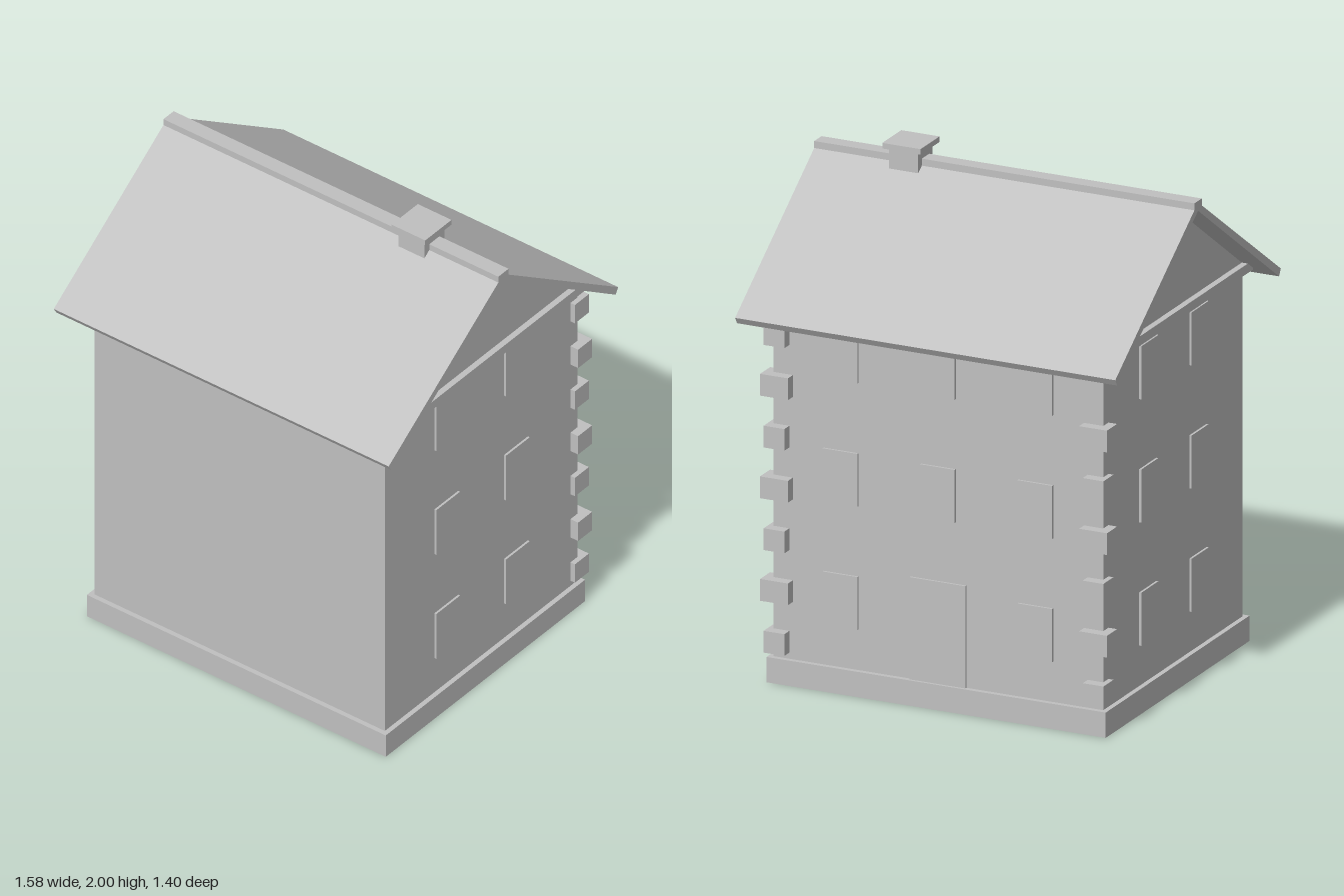
import * as THREE from 'three';

export function createModel() {
  const house = new THREE.Group();
  house.name = 'house';
  const stone = new THREE.MeshStandardMaterial({ color: 0xc0c0c0 });
  stone.name = 'light grey stone';

  const add = (name, geometry) => {
    const mesh = new THREE.Mesh(geometry, stone);
    mesh.name = name;
    house.add(mesh);
    return mesh;
  };
  // Box given by its limits on each axis
  const box = (name, x0, x1, y0, y1, z0, z1) =>
    add(name, new THREE.BoxGeometry(x1 - x0, y1 - y0, z1 - z0))
      .position.set((x0 + x1) / 2, (y0 + y1) / 2, (z0 + z1) / 2);
  // Cross-section of [z, y] points swept along x
  const sweep = (name, points, halfLength) => {
    const shape = new THREE.Shape(points.map(([z, y]) => new THREE.Vector2(-z, y)));
    const geometry = new THREE.ExtrudeGeometry(shape, { depth: 2 * halfLength, bevelEnabled: false });
    geometry.translate(0, 0, -halfLength).rotateY(Math.PI / 2);
    return add(name, geometry);
  };

  const wallX = 0.685, wallZ = 0.586;

  // Plinth, walls, cornice and gables
  box('plinth', -0.705, 0.705, 0, 0.1, -0.606, 0.606);
  box('walls', -wallX, wallX, 0.1, 1.465, -wallZ, wallZ);
  box('cornice', -0.71, 0.71, 1.462, 1.5, -0.625, 0.625);
  sweep('gables', [[0.585, 1.5], [0, 1.907], [-0.585, 1.5]], wallX);

  // Roof slabs, joined at the ridge
  sweep('roof', [
    [0.698, 1.456], [0, 1.938], [-0.698, 1.456],
    [-0.682, 1.43], [0, 1.905], [0.682, 1.43],
  ], 0.79);
  box('ridgeCap', -0.79, 0.79, 1.91, 1.944, -0.031, 0.031);

  // Chimney
  box('chimneyShaft', 0.343, 0.464, 1.85, 1.98, -0.061, 0.061);
  box('chimneyCap', 0.324, 0.483, 1.978, 2, -0.08, 0.08);

  // Windows on both gable ends and the back, with a door at the middle of the back
  const plate = 0.009, halfWidth = 0.072;
  [0.26, 0.747, 1.234].forEach((y, floor) => {
    for (const z of [-0.212, 0.212]) {
      box('rightWindow', -wallX - plate, -wallX, y, y + 0.21, z - halfWidth, z + halfWidth);
      box('leftWindow', wallX, wallX + plate, y, y + 0.21, z - halfWidth, z + halfWidth);
    }
    for (const x of [-0.405, 0, 0.405]) {
      if (floor === 0 && x === 0) continue;
      box('backWindow', x - halfWidth, x + halfWidth, y, y + 0.21, -wallZ - plate, -wallZ);
    }
  });
  box('backDoor', -0.116, 0.116, 0.1, 0.504, -wallZ - plate, -wallZ);

  // Alternating corner stones on the two back corners
  for (let i = 0; i < 7; i++) {
    const y = 0.167 + i * 0.2027;
    const half = i % 2 ? 0.058 : 0.043;
    for (const side of [-1, 1]) {
      const x = side * 0.663;
      box('cornerStone', x - half, x + half, y - 0.043, y + 0.043, -0.628, -0.543);
    }
  }
  return house;
}
